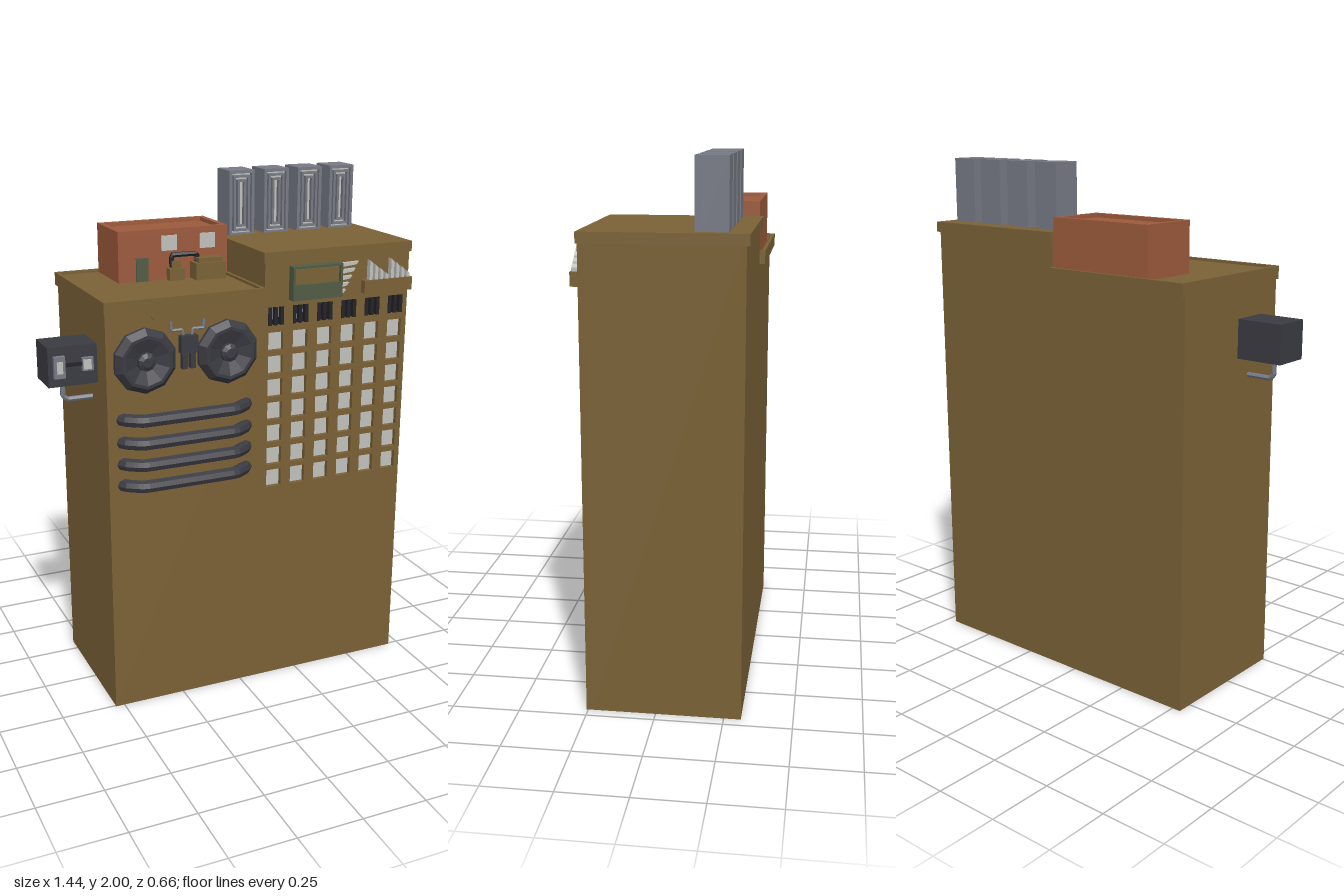
import * as THREE from 'three';

const mat = (name, color) => {
  const m = new THREE.MeshStandardMaterial({ color });
  m.name = name;
  m.flatShading = true;
  return m;
};

export function createModel() {
  const brown = mat('brown wall', 0x7a6136);
  const brick = mat('brick red', 0x9c5a3c);
  const grey = mat('vent grey', 0x777a85);
  const dark = mat('dark metal', 0x3a3a42);
  const green = mat('dull green', 0x505c45);
  const light = mat('pale glass', 0xc0c0bb);
  const black = mat('black', 0x232328);

  const root = new THREE.Group();
  root.name = 'building';
  const add = (name, geo, material, parent = root) => {
    const m = new THREE.Mesh(geo, material);
    m.name = name;
    parent.add(m);
    return m;
  };
  // Box given by its minimum and maximum on each axis
  const box = (name, material, x0, x1, y0, y1, z0, z1, parent) => {
    const m = add(name, new THREE.BoxGeometry(x1 - x0, y1 - y0, z1 - z0), material, parent);
    m.position.set((x0 + x1) / 2, (y0 + y1) / 2, (z0 + z1) / 2);
    return m;
  };
  const poly = pts => new THREE.Shape(pts.map(p => new THREE.Vector2(p[0], p[1])));
  const extrude = (shape, depth) => new THREE.ExtrudeGeometry(shape, { depth, bevelEnabled: false });
  const rect = (w, h, cx = 0, cy = 0) => [
    [cx - w / 2, cy - h / 2], [cx + w / 2, cy - h / 2], [cx + w / 2, cy + h / 2], [cx - w / 2, cy + h / 2]];
  const hole = pts => new THREE.Path(pts.map(p => new THREE.Vector2(p[0], p[1])));
  // Rectangular ring in the xy plane
  const frame = (w, h, t, depth) => {
    const s = poly(rect(w, h));
    s.holes.push(hole(rect(w - 2 * t, h - 2 * t).reverse()));
    return extrude(s, depth);
  };
  // Pipe through points with straight runs
  const pipe = (name, material, pts, r, sides = 6, parent = root) => {
    const path = new THREE.CatmullRomCurve3(pts.map(p => new THREE.Vector3(...p)), false, 'catmullrom', 0.08);
    return add(name, new THREE.TubeGeometry(path, pts.length * 6, r, sides), material, parent);
  };

  // Walls: stepped block with a front skin pierced by window holes
  const outline = () => poly([[-0.535, 0], [0.708, 0], [0.708, 1.74], [0.09, 1.74], [0.09, 1.61], [-0.535, 1.61]]);
  add('mainWalls', extrude(outline(), 0.546), brown).position.z = -0.312;
  const skin = outline();
  const cols = [0, 1, 2, 3, 4, 5].map(i => 0.138 + i * 0.1035);
  const rows = [0, 1, 2, 3, 4, 5, 6].map(i => 0.86 + i * 0.0917);
  const windows = new THREE.Group();
  windows.name = 'windows';
  root.add(windows);
  for (const x of cols) {
    for (const y of rows) {
      skin.holes.push(hole(rect(0.062, 0.07, x, y).reverse()));
      box('windowPane', light, x - 0.031, x + 0.031, y - 0.035, y + 0.035, 0.234, 0.238, windows);
    }
    // Barred opening above each column
    skin.holes.push(hole(rect(0.066, 0.07, x, 1.507).reverse()));
    box('barredPane', light, x - 0.033, x + 0.033, 1.472, 1.542, 0.234, 0.238, windows);
    for (const dx of [-0.025, 0, 0.025])
      box('windowBar', black, x + dx - 0.007, x + dx + 0.007, 1.472, 1.542, 0.238, 0.258, windows);
  }
  add('frontWall', extrude(skin, 0.022), brown).position.z = 0.234;

  // Roof edges
  box('highRoofEdge', brown, 0.083, 0.715, 1.71, 1.75, -0.324, 0.262);
  const lowEdge = add('lowRoofEdge', frame(0.627, 0.598, 0.013, 0.05), brown);
  lowEdge.rotation.x = -Math.PI / 2;
  lowEdge.position.set(-0.2265, 1.57, -0.034);
  add('cableBracket', extrude(poly([[-0.38, 1.57], [-0.34, 1.53], [-0.11, 1.53], [-0.07, 1.57]]), 0.01), brown).position.z = 0.254;

  // Roof hut with sunken roof
  const hut = new THREE.Group();
  hut.name = 'roofHut';
  root.add(hut);
  box('hutWalls', brick, -0.367, 0.082, 1.605, 1.79, -0.31, -0.068, hut);
  const parapet = add('hutParapet', frame(0.449, 0.242, 0.022, 0.015), brick, hut);
  parapet.rotation.x = -Math.PI / 2;
  parapet.position.set(-0.1425, 1.79, -0.189);
  box('hutDoor', green, -0.297, -0.248, 1.61, 1.7, -0.068, -0.063, hut);
  box('hutWindow', light, -0.193, -0.13, 1.722, 1.78, -0.068, -0.063, hut);
  box('hutWindow', light, -0.035, 0.028, 1.722, 1.78, -0.068, -0.063, hut);
  box('smallTank', brown, -0.172, -0.11, 1.61, 1.655, -0.07, -0.035, hut);
  box('smallTankCap', brown, -0.16, -0.122, 1.655, 1.685, -0.07, -0.042, hut);
  box('largeTank', brown, -0.075, 0.05, 1.61, 1.675, -0.07, -0.005, hut);
  box('largeTankTop', brown, -0.06, 0.038, 1.675, 1.692, -0.07, -0.015, hut);
  pipe('tankPipe', black, [[-0.155, 1.66, -0.055], [-0.155, 1.705, -0.055], [-0.052, 1.705, -0.055], [-0.052, 1.67, -0.055]], 0.01, 6, hut);

  // Four roof vents with nested frames at the front
  for (const x of [0.176, 0.327, 0.475, 0.62]) {
    const vent = new THREE.Group();
    vent.name = 'roofVent';
    vent.position.set(x, 1.872, 0);
    root.add(vent);
    box('ventBody', grey, -0.054, 0.054, -0.128, 0.128, -0.25, -0.155, vent);
    box('ventBack', light, -0.05, 0.05, -0.12, 0.12, -0.155, -0.152, vent);
    [0, 0.019, 0.036].forEach((d, i) =>
      add('ventFrame', frame(0.108 - 2 * d, 0.256 - 2 * d, i ? 0.009 : 0.012, 0.02), grey, vent).position.z = -0.155);
  }

  // Ten-sided round fans
  const fanProfile = [[0.122, 0], [0.122, 0.016], [0.1, 0.04], [0.088, 0.04], [0.036, 0.022], [0.034, 0.034], [0.018, 0.042], [0, 0.042]];
  for (const x of [-0.39, -0.065]) {
    const fan = add('roundFan', new THREE.LatheGeometry(fanProfile.map(p => new THREE.Vector2(...p)), 10), dark);
    fan.rotation.x = Math.PI / 2;
    fan.position.set(x, 1.395, 0.255);
  }

  // Junction box and cables between the fans
  box('junctionBox', dark, -0.256, -0.19, 1.41, 1.475, 0.254, 0.285);
  for (const s of [-1, 1]) {
    const x = -0.223 + s * 0.016;
    box('junctionPlug', dark, x - 0.01, x + 0.01, 1.35, 1.41, 0.254, 0.278);
    pipe('junctionCable', grey, [[-0.223 + s * 0.065, 1.53, 0.262], [-0.223 + s * 0.062, 1.495, 0.262],
      [-0.223 + s * 0.022, 1.495, 0.262], [-0.223 + s * 0.016, 1.465, 0.262]], 0.006);
  }

  // Horizontal pipes bent into the wall
  for (const y of [1.18, 1.092, 1.008, 0.925])
    pipe('wallPipe', dark, [[-0.482, y, 0.24], [-0.472, y, 0.262], [-0.41, y, 0.301], [-0.05, y, 0.301],
      [0.012, y, 0.262], [0.022, y, 0.24]], 0.025, 8);

  // Green balcony box
  box('balconyBase', green, 0.19, 0.398, 1.565, 1.622, 0.254, 0.292);
  box('balconyBack', brown, 0.2, 0.388, 1.622, 1.68, 0.254, 0.28);
  const surround = add('balconyFrame', frame(0.208, 0.078, 0.009, 0.038), green);
  surround.position.set(0.294, 1.654, 0.254);

  // Slanted slats beside it
  for (let i = 0; i < 5; i++) {
    const y = 1.685 - i * 0.026;
    add('sideSlat', extrude(poly([[0.4, y - 0.012], [0.468 - i * 0.013, y - 0.006], [0.478 - i * 0.013, y + 0.006], [0.4, y + 0.003]]), 0.016), light).position.z = 0.254;
  }

  // Ledge with two sets of stepped upright fins
  box('finLedge', brown, 0.5, 0.71, 1.565, 1.615, 0.254, 0.283);
  for (let i = 0; i < 8; i++) {
    const x = 0.523 + i * 0.0235, h = 0.082 - (i % 4) * 0.017;
    add('uprightFin', extrude(poly([[x, 1.61], [x + 0.013, 1.61], [x + 0.013, 1.61 + h - 0.012], [x, 1.61 + h]]), 0.022), light).position.z = 0.256;
  }

  // Side machine hung on the wall
  const unit = new THREE.Group();
  unit.name = 'sideUnit';
  root.add(unit);
  box('unitCase', dark, -0.72, -0.53, 1.302, 1.45, 0.012, 0.158, unit);
  box('unitPanel', grey, -0.702, -0.66, 1.337, 1.418, 0.158, 0.176, unit);
  box('unitPanelFace', light, -0.692, -0.67, 1.355, 1.4, 0.176, 0.179, unit);
  box('unitSocket', grey, -0.595, -0.553, 1.355, 1.405, 0.158, 0.172, unit);
  box('unitSocketFace', light, -0.592, -0.562, 1.362, 1.398, 0.172, 0.176, unit);
  box('unitRod', black, -0.66, -0.595, 1.376, 1.388, 0.158, 0.17, unit);
  pipe('unitPipe', grey, [[-0.648, 1.31, 0.085], [-0.648, 1.245, 0.085], [-0.63, 1.23, 0.085], [-0.53, 1.23, 0.085]], 0.01, 6, unit);

  return root;
}
